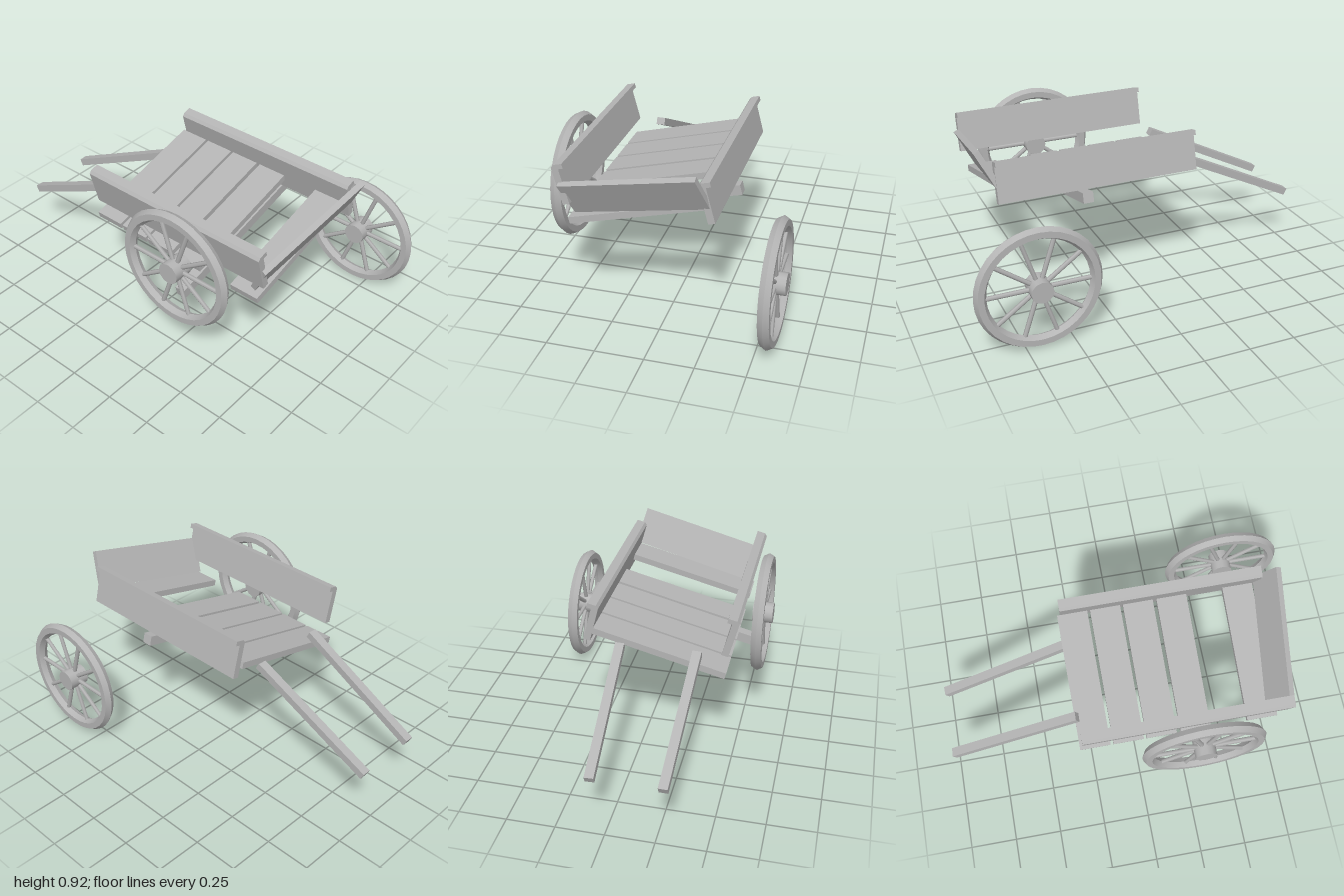
import * as THREE from 'three';
import { toCreasedNormals } from 'three/addons/utils/BufferGeometryUtils.js';

const TILT = 0.248; // the bed has sunk towards +z

export function createModel() {
  const cart = new THREE.Group();
  cart.name = 'brokenCart';
  const grey = new THREE.MeshStandardMaterial({ color: 0xb4b4b4 });
  grey.name = 'plain grey wood';

  const add = (parent, name, geometry, x = 0, y = 0, z = 0) => {
    const mesh = new THREE.Mesh(geometry, grey);
    mesh.name = name;
    mesh.position.set(x, y, z);
    parent.add(mesh);
    return mesh;
  };
  const box = (w, h, d) => new THREE.BoxGeometry(w, h, d);

  // Wheels: hexagonal rim, round hub and ten spokes
  const rim = toCreasedNormals(new THREE.TorusGeometry(0.293, 0.032, 6, 36), 0.5);
  const hub = new THREE.CylinderGeometry(0.057, 0.057, 0.11, 12).rotateX(Math.PI / 2);
  const spoke = new THREE.CylinderGeometry(0.012, 0.012, 0.25, 6).translate(0, 0.155, 0);
  const wheel = (name, x, y, z) => {
    const group = new THREE.Group();
    group.name = name;
    group.position.set(x, y, z);
    add(group, 'rim', rim);
    add(group, 'hub', toCreasedNormals(hub, 0.6));
    for (let i = 0; i < 10; i++) {
      add(group, 'spoke', spoke).rotation.z = -Math.PI / 2 + (i * Math.PI) / 5;
    }
    cart.add(group);
  };
  wheel('attachedWheel', 0.315, 0.595, 0.565);
  wheel('looseWheel', 0.67, 0.33, -0.565);

  // Floor planks, with one missing
  for (const x of [-0.235, -0.06, 0.115, 0.295, 0.65]) {
    add(cart, 'floorPlank', box(0.16, 0.035, 0.712), x, 0.637, 0.11).rotation.x = TILT;
  }

  // Axle beam
  add(cart, 'axle', box(0.055, 0.054, 0.869), 0.315, 0.52, 0.109).rotation.x = TILT;

  // Side boards with a chamfered top rail
  const profile = new THREE.Shape([
    [0, 0], [0.035, 0], [0.035, 0.185], [0.06, 0.185],
    [0.06, 0.21], [0.015, 0.21], [0, 0.197],
  ].map(([x, y]) => new THREE.Vector2(x, y)));
  const side = new THREE.ExtrudeGeometry(profile, { depth: 1.068, bevelEnabled: false }).rotateY(Math.PI / 2);
  for (const z of [0.463, -0.254]) {
    add(cart, 'sideBoard', side, -0.3, 0.655, z).rotation.x = TILT;
  }

  // End board, leaning outward and twisted
  const along = new THREE.Vector3(0.068, 0.152, -0.695).normalize();
  const up = new THREE.Vector3(0.09, 0.178, 0.048);
  up.addScaledVector(along, -up.dot(along)).normalize();
  const out = new THREE.Vector3().crossVectors(along, up);
  const endBoard = add(cart, 'endBoard', box(0.715, 0.205, 0.03));
  endBoard.quaternion.setFromRotationMatrix(new THREE.Matrix4().makeBasis(along, up, out));
  endBoard.position.set(0.778, 0.748, 0.109).addScaledVector(out, -0.015);

  // Pulling shafts, slightly splayed at the bed
  for (const [z0, z1] of [[0.285, 0.307], [-0.07, -0.092]]) {
    const low = new THREE.Vector3(-0.988, 0.32, z0);
    const high = new THREE.Vector3(-0.302, 0.658, z1);
    const shaft = add(cart, 'shaft', box(0.047, 0.04, low.distanceTo(high)));
    shaft.position.copy(low).lerp(high, 0.5);
    shaft.lookAt(high);
  }
  return cart;
}
